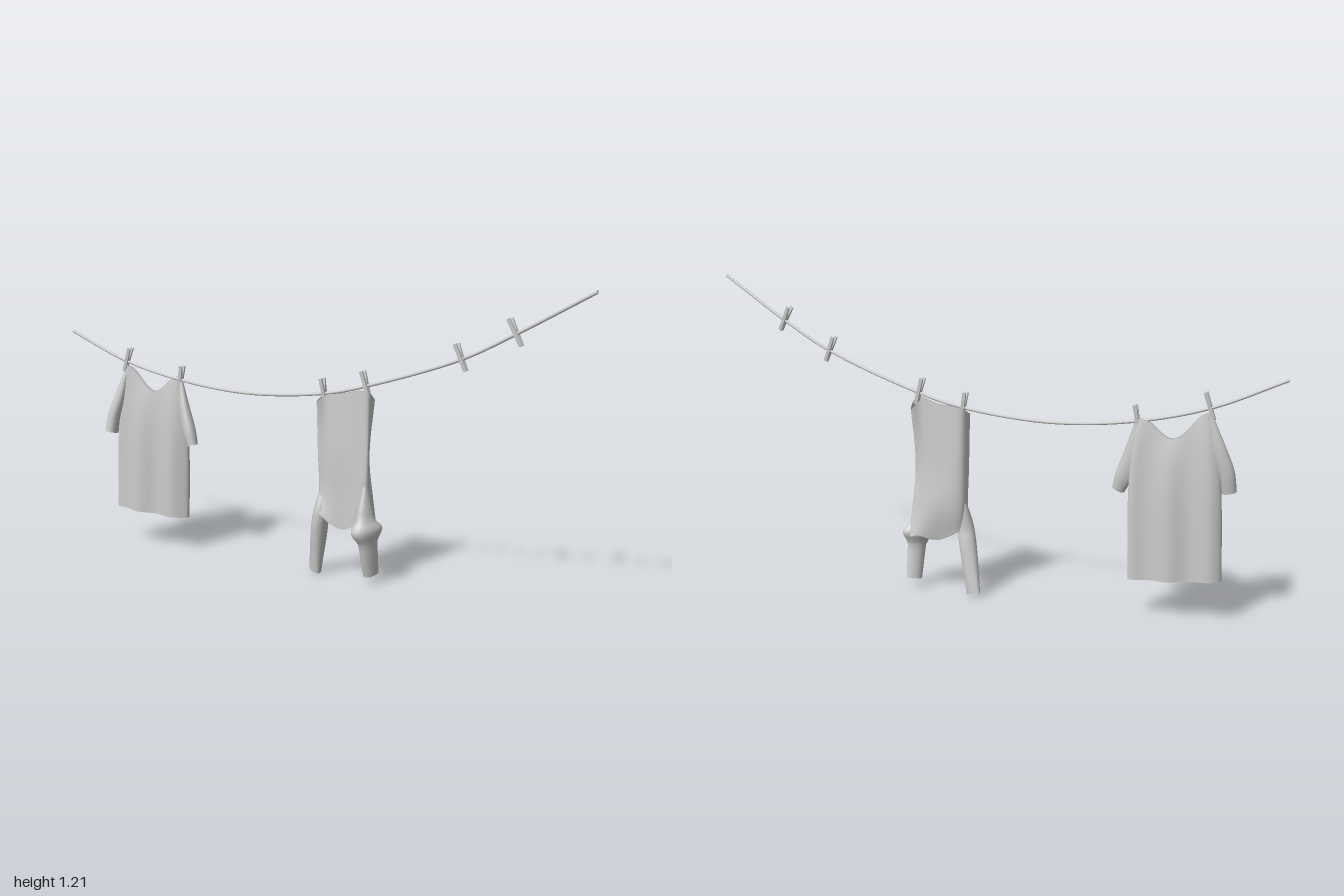
import * as THREE from 'three';

const V = (p) => new THREE.Vector3(...p);
const grey = new THREE.MeshStandardMaterial({ color: 0xcccccc, side: THREE.DoubleSide });
grey.name = 'plain grey';

function add(parent, name, geometry) {
  const mesh = new THREE.Mesh(geometry, grey);
  mesh.name = name;
  parent.add(mesh);
  return mesh;
}

// Skin a stack of closed rings, all with the same number of points
function loft(rings) {
  const n = rings[0].length;
  const positions = [], index = [];
  rings.forEach((ring) => ring.forEach((p) => positions.push(p.x, p.y, p.z)));
  for (let r = 0; r < rings.length - 1; r++) {
    for (let i = 0; i < n; i++) {
      const a = r * n + i, b = r * n + (i + 1) % n;
      index.push(a, a + n, b, b, a + n, b + n);
    }
  }
  const g = new THREE.BufferGeometry();
  g.setAttribute('position', new THREE.Float32BufferAttribute(positions, 3));
  g.setIndex(index);
  g.computeVertexNormals();
  return g;
}

// Smooth a few hand-placed cross-sections into a cloth tube
function clothTube(sections, around = 64, down = 24) {
  const loops = sections.map((s) => new THREE.CatmullRomCurve3(s.map(V), true, 'centripetal'));
  const columns = [];
  for (let i = 0; i < around; i++) {
    const line = new THREE.CatmullRomCurve3(loops.map((l) => l.getPoint(i / around)));
    columns.push(line.getPoints(down));
  }
  return loft(columns[0].map((_, r) => columns.map((c) => c[r])));
}

// Sleeve: oval rings square to a path; radii are [rx, rz] per path point
function sleeve(path, radii) {
  const curve = new THREE.CatmullRomCurve3(path.map(V));
  const radiusLine = new THREE.CatmullRomCurve3(radii.map(([a, b]) => V([a, b, 0])));
  const rings = [];
  for (let r = 0; r <= 16; r++) {
    const c = curve.getPoint(r / 16), d = curve.getTangent(r / 16), rad = radiusLine.getPoint(r / 16);
    const ring = [];
    for (let i = 0; i < 28; i++) {
      const a = (i / 28) * Math.PI * 2;
      const fold = 1 + 0.06 * Math.sin(3 * a + 1);
      const dx = rad.x * fold * Math.cos(a), dz = rad.y * fold * Math.sin(a);
      ring.push(V([c.x + dx, c.y - (d.x * dx + d.z * dz) / d.y, c.z + dz]));
    }
    rings.push(ring);
  }
  return loft(rings);
}

// Short-sleeved shirt body, pinched at both shoulders with a dipping neckline
function shirtBody() {
  const ux = 0.61, uz = 0.79, rings = [];
  for (let r = 0; r <= 28; r++) {
    const v = r / 28;
    const spread = 1 - Math.pow(1 - v, 4);
    const half = 0.132 + 0.04 * spread, shift = -0.018 * v;
    const thick = 0.01 + 0.022 * spread;
    const ring = [];
    for (let i = 0; i < 72; i++) {
      const a = (i / 72) * Math.PI * 2;
      const along = Math.cos(a);
      const s = shift + half * along;
      const side = Math.sign(Math.sin(a)) * Math.pow(Math.abs(Math.sin(a)), 0.7);
      const fold = 0.009 * spread * Math.sin(along * 7 + 0.6);
      const off = thick * side + fold;
      const t = along * 0.132;
      const dip = Math.abs(t) < 0.12 ? 0.042 * (1 + Math.cos(Math.PI * t / 0.12)) : 0;
      const top = 0.765 - 0.135 * t - dip;
      const y = THREE.MathUtils.lerp(top, 0.151 - 0.05 * s, v);
      ring.push(V([-0.343 + s * ux + off * uz, y, -0.685 + s * uz - off * ux]));
    }
    rings.push(ring);
  }
  return loft(rings);
}

// Clothes peg: two tapering prongs and a spring, opening across the rope
function pegShape(m) {
  const pts = [[0.001, -0.046], [0.008, -0.046], [0.011, 0], [0.016, 0.06], [0.009, 0.06], [0.001, 0.014]];
  return new THREE.Shape(pts.map(([x, y]) => new THREE.Vector2(x * m, y)));
}

function peg(rope, z) {
  let lo = 0, hi = 1;
  for (let i = 0; i < 30; i++) {
    const mid = (lo + hi) / 2;
    if (rope.getPoint(mid).z < z) lo = mid; else hi = mid;
  }
  const tangent = rope.getTangent(lo);
  const across = new THREE.Vector3(0, 1, 0).cross(tangent).normalize();
  const up = tangent.clone().cross(across);
  const group = new THREE.Group();
  group.name = 'peg';
  const prongs = new THREE.ExtrudeGeometry([pegShape(1), pegShape(-1)], { depth: 0.014, bevelEnabled: false });
  add(group, 'pegProngs', prongs.translate(0, 0, -0.007));
  add(group, 'pegSpring', new THREE.CylinderGeometry(0.004, 0.004, 0.018, 10).rotateX(Math.PI / 2).translate(0, 0.016, 0));
  group.quaternion.setFromRotationMatrix(new THREE.Matrix4().makeBasis(across, up, tangent));
  group.position.copy(rope.getPoint(lo));
  return group;
}

export function createModel() {
  const model = new THREE.Group();
  model.name = 'clothesline';

  // Sagging rope
  const rope = new THREE.CatmullRomCurve3([
    [-0.583, 0.913, -1], [-0.425, 0.802, -0.79], [-0.262, 0.738, -0.57], [-0.085, 0.712, -0.3],
    [0.1, 0.744, 0], [0.195, 0.79, 0.16], [0.38, 0.93, 0.52], [0.47, 1.037, 0.71], [0.583, 1.208, 1],
  ].map(V));
  add(model, 'rope', new THREE.TubeGeometry(rope, 80, 0.006, 10));
  for (const z of [-0.785, -0.575, 0, 0.16, 0.52, 0.715]) model.add(peg(rope, z));

  // Short-sleeved shirt hung by its shoulders
  const shirt = new THREE.Group();
  shirt.name = 'shortSleevedShirt';
  add(shirt, 'shirtBody', shirtBody());
  add(shirt, 'shirtLeftSleeve', sleeve(
    [[-0.264, 0.735, -0.575], [-0.262, 0.63, -0.555], [-0.256, 0.54, -0.525], [-0.25, 0.472, -0.497]],
    [[0.008, 0.01], [0.021, 0.03], [0.026, 0.034], [0.021, 0.024]]));
  add(shirt, 'shirtRightSleeve', sleeve(
    [[-0.418, 0.77, -0.79], [-0.447, 0.64, -0.815], [-0.47, 0.56, -0.83], [-0.484, 0.492, -0.832]],
    [[0.008, 0.01], [0.024, 0.026], [0.028, 0.028], [0.027, 0.026]]));
  model.add(shirt);

  // Long-sleeved shirt hung upside down by its hem
  const longShirt = new THREE.Group();
  longShirt.name = 'longSleevedShirt';
  add(longShirt, 'longShirtBody', clothTube([
    [[0.064, 0.715, 0.005], [0.1, 0.742, 0.02], [0.15, 0.752, 0.085], [0.19, 0.772, 0.178],
      [0.24, 0.73, 0.15], [0.207, 0.765, 0.13], [0.16, 0.752, 0.06], [0.112, 0.742, -0.01]],
    [[0.073, 0.51, 0], [0.098, 0.51, 0.04], [0.142, 0.51, 0.095], [0.19, 0.51, 0.183],
      [0.217, 0.51, 0.15], [0.203, 0.51, 0.11], [0.168, 0.51, 0.05], [0.117, 0.51, -0.013]],
    [[0.078, 0.35, 0.002], [0.098, 0.34, 0.05], [0.142, 0.34, 0.1], [0.184, 0.36, 0.178],
      [0.238, 0.34, 0.15], [0.222, 0.34, 0.11], [0.183, 0.34, 0.05], [0.117, 0.34, -0.01]],
    [[0.06, 0.28, 0.02], [0.09, 0.235, 0.06], [0.135, 0.212, 0.1], [0.18, 0.25, 0.16],
      [0.26, 0.228, 0.14], [0.24, 0.235, 0.11], [0.18, 0.215, 0.07], [0.11, 0.26, 0]],
  ]));
  add(longShirt, 'longShirtRightSleeve', sleeve(
    [[0.1, 0.37, 0], [0.084, 0.27, 0.006], [0.084, 0.2, -0.008], [0.09, 0.012, -0.05]],
    [[0.012, 0.012], [0.032, 0.03], [0.034, 0.032], [0.02, 0.034]]));
  add(longShirt, 'longShirtLeftSleeve', sleeve(
    [[0.188, 0.4, 0.172], [0.18, 0.26, 0.187], [0.188, 0.18, 0.192], [0.213, 0.04, 0.178]],
    [[0.008, 0.008], [0.04, 0.026], [0.04, 0.026], [0.033, 0.023]]));
  model.add(longShirt);

  return model;
}
